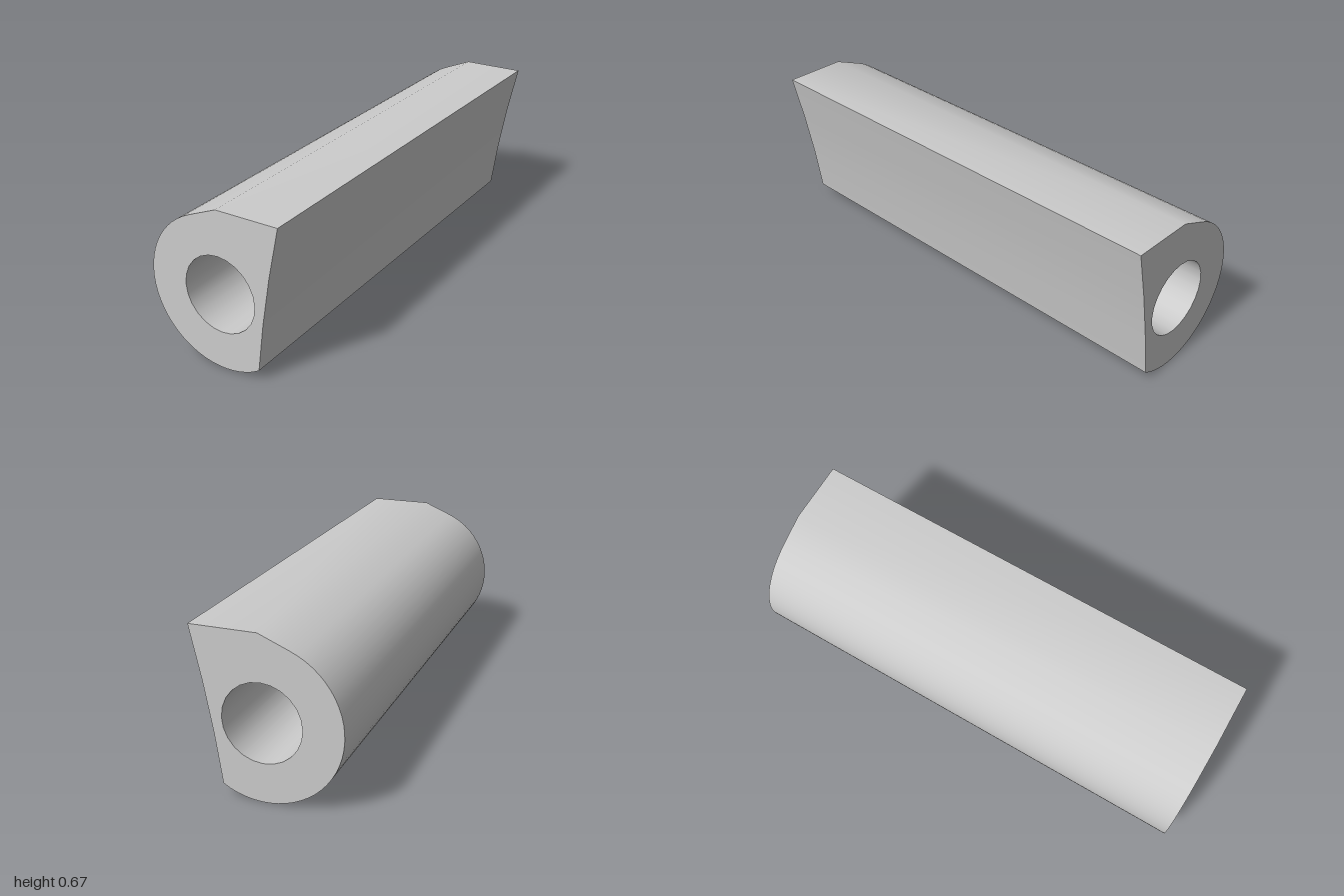
import * as THREE from 'three';
import { toCreasedNormals } from 'three/addons/utils/BufferGeometryUtils.js';

const CX = 0.021, CY = 0.32, OUTER = 0.32, BORE = 0.16, LENGTH = 2;

// Points along an arc about the bore axis, angles in degrees
function arcPoints(radius, from, to, steps) {
  return Array.from({ length: steps + 1 }, (_, i) => {
    const a = THREE.MathUtils.degToRad(from + (to - from) * i / steps);
    return new THREE.Vector2(CX + radius * Math.cos(a), CY + radius * Math.sin(a));
  });
}

export function createModel() {
  const group = new THREE.Group();
  group.name = 'hingeBarrel';

  // Profile: shallow concave side, flat top, slope down to the round barrel
  const outline = [
    [0.187, 0.048], [0.215, 0.252], [0.251, 0.455], [0.297, 0.668], [0.025, 0.668],
  ].map(([x, y]) => new THREE.Vector2(x, y));
  const barrel = arcPoints(OUTER, 112, 301.4, 32);
  barrel.pop(); // the arc ends on the first outline point
  const profile = new THREE.Shape([...outline, ...barrel]);

  // Round bore through the whole length
  profile.holes.push(new THREE.Path(arcPoints(BORE, 360, 0, 24).slice(0, -1)));

  const extruded = new THREE.ExtrudeGeometry(profile, { depth: LENGTH, bevelEnabled: false });
  extruded.translate(0, 0, -LENGTH / 2);

  const body = new THREE.Mesh(
    toCreasedNormals(extruded, 0.5),
    new THREE.MeshStandardMaterial({ color: 0xcccccc }),
  );
  body.name = 'boredBody';
  group.add(body);
  return group;
}
